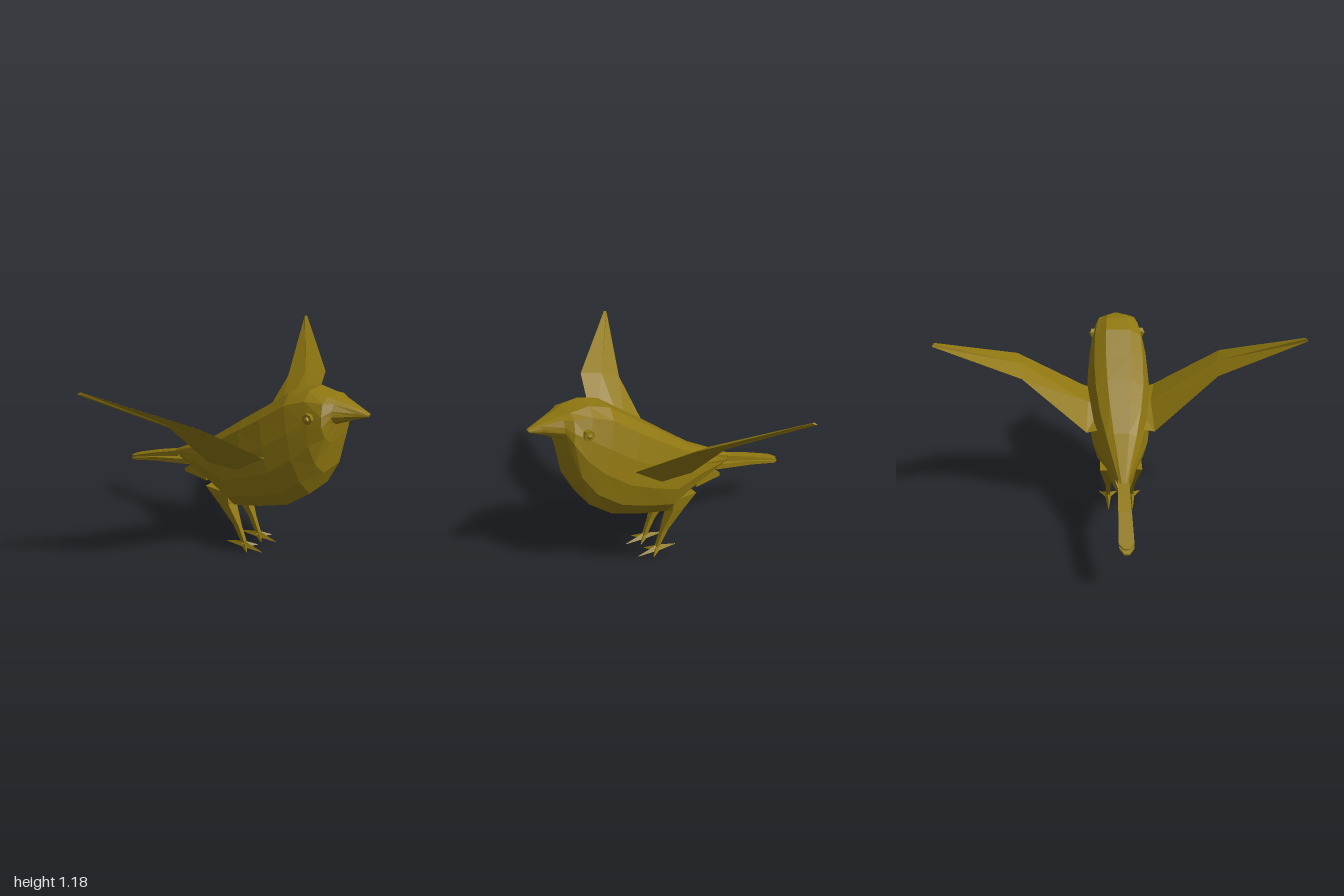
import * as THREE from 'three';

const material = new THREE.MeshStandardMaterial({ color: 0x8f7710, flatShading: true });

// Skin a closed solid over rings of equal point count; winding is fixed by signed volume
function loft(rings) {
  const n = rings[0].length, tris = [];
  for (let r = 0; r + 1 < rings.length; r++) {
    for (let i = 0; i < n; i++) {
      const j = (i + 1) % n;
      const a = rings[r][i], b = rings[r][j], c = rings[r + 1][j], d = rings[r + 1][i];
      tris.push([a, b, c], [a, c, d]);
    }
  }
  const first = rings[0], last = rings[rings.length - 1];
  for (let i = 1; i + 1 < n; i++) {
    tris.push([first[0], first[i + 1], first[i]], [last[0], last[i], last[i + 1]]);
  }
  const vec = (p) => new THREE.Vector3(...p);
  let volume = 0;
  for (const [a, b, c] of tris) volume += vec(a).dot(vec(b).cross(vec(c)));
  if (volume < 0) tris.forEach((t) => t.reverse());
  const g = new THREE.BufferGeometry();
  g.setAttribute('position', new THREE.Float32BufferAttribute(tris.flat(2), 3));
  g.computeVertexNormals();
  return g;
}

const mirrored = (rings, s) => rings.map((ring) => ring.map(([x, y, z]) => [x * s, y, z]));

// Rectangular ring across the body: half width, top and bottom height, z
const slab = (w, top, bottom, z, zBottom = z) =>
  [[w, top, z], [-w, top, z], [-w, bottom, zBottom], [w, bottom, zBottom]];

export function createModel() {
  const bird = new THREE.Group();
  bird.name = 'bird';
  const add = (name, geometry, parent = bird) => {
    const mesh = new THREE.Mesh(geometry, material);
    mesh.name = name;
    parent.add(mesh);
    return mesh;
  };

  // Body, head and beak: slanted rings [top z, top y, bottom z, bottom y, half width]
  const stations = [
    [0.85, 1.0, 0.845, 0.985, 0.015],
    [0.79, 1.02, 0.78, 0.96, 0.04],
    [0.68, 1.048, 0.69, 0.925, 0.1],
    [0.635, 1.06, 0.68, 0.83, 0.15],
    [0.53, 1.075, 0.65, 0.65, 0.172],
    [0.41, 1.04, 0.58, 0.51, 0.19],
    [0.26, 0.93, 0.44, 0.4, 0.2],
    [0.12, 0.83, 0.25, 0.33, 0.19],
    [0.0, 0.74, 0.06, 0.272, 0.165],
    [-0.16, 0.625, -0.16, 0.37, 0.115],
    [-0.45, 0.475, -0.37, 0.42, 0.03],
  ];
  // Half outline of one ring: [fraction from top to bottom, fraction of half width]
  const half = [[0, 0.38], [0.09, 0.74], [0.35, 0.93], [0.6, 1], [0.84, 0.84], [1, 0.5]];
  const outline = [...half, ...half.map(([t, w]) => [t, -w]).reverse()];
  add('body', loft(stations.map(([zt, yt, zb, yb, w]) =>
    outline.map(([t, k]) => [k * w, yt + (yb - yt) * t, zt + (zb - zt) * t]))));

  // Tail feathers and the wedge beneath them
  const tail = new THREE.Group();
  tail.name = 'tail';
  bird.add(tail);
  add('upperTailFeather', loft([
    slab(0.03, 0.478, 0.44, -0.42),
    slab(0.036, 0.41, 0.385, -0.63),
    slab(0.04, 0.344, 0.332, -0.81),
    slab(0.015, 0.334, 0.326, -0.84),
  ]), tail);
  add('lowerTailFeather', loft([
    slab(0.03, 0.44, 0.405, -0.34),
    slab(0.034, 0.38, 0.355, -0.62),
    slab(0.04, 0.326, 0.312, -0.81),
    slab(0.015, 0.311, 0.302, -0.85),
  ]), tail);
  add('tailCovert', loft([
    slab(0.085, 0.44, 0.37, -0.15),
    slab(0.05, 0.43, 0.36, -0.29),
    slab(0.025, 0.37, 0.347, -0.37),
  ]), tail);

  for (const [side, s] of [['left', 1], ['right', -1]]) {
    // Wing sections: leading edge, upper face, trailing edge, lower face
    add(side + 'Wing', loft(mirrored([
      [[0.13, 0.68, 0.33], [0.1, 0.65, 0.17], [0.13, 0.58, -0.03], [0.14, 0.57, 0.17]],
      [[0.22, 0.7, 0.355], [0.19, 0.67, 0.17], [0.2, 0.565, -0.03], [0.225, 0.59, 0.19]],
      [[0.6, 0.963, 0.245], [0.57, 0.948, 0.12], [0.56, 0.9, 0.002], [0.59, 0.92, 0.12]],
      [[0.992, 1.18, -0.14], [0.99, 1.18, -0.155], [1.0, 1.168, -0.165], [1.0, 1.172, -0.15]],
    ], s)));

    // Eye: faceted rim with a small bead in it
    const eye = new THREE.Group();
    eye.name = side + 'Eye';
    eye.position.set(s * 0.15, 0.958, 0.582);
    bird.add(eye);
    add('eyeRim', new THREE.CylinderGeometry(0.03, 0.03, 0.03, 7), eye).rotation.z = Math.PI / 2;
    add('eyeBead', new THREE.IcosahedronGeometry(0.02, 0), eye).position.x = s * 0.008;

    // Leg: flat taper from thigh to ankle
    const legRing = (x0, x1, y, zFront, zBack) =>
      [[x0, y, zFront], [x1, y, zFront], [x1, y, zBack], [x0, y, zBack]];
    add(side + 'Leg', loft(mirrored([
      legRing(0.035, 0.125, 0.36, 0.04, -0.12),
      legRing(0.04, 0.115, 0.275, 0.045, -0.04),
      legRing(0.06, 0.09, 0.14, 0.1, 0.06),
      legRing(0.062, 0.086, 0.035, 0.142, 0.118),
    ], s)));

    // Foot: three forward toes and one back toe, each tapering to a point
    const foot = new THREE.Group();
    foot.name = side + 'Foot';
    bird.add(foot);
    for (const [x, y, z] of [[0.018, 0.013, 0.19], [0.075, 0.012, 0.262], [0.132, 0.013, 0.19], [0.075, 0.002, 0]]) {
      const dir = new THREE.Vector2(x - 0.075, z - 0.13).normalize().multiplyScalar(0.02);
      const ring = (cx, cz, k, top, bottom) => [
        [cx, top, cz],
        [cx + dir.y * k, bottom, cz - dir.x * k],
        [cx - dir.y * k, bottom, cz + dir.x * k],
      ];
      add('toe', loft(mirrored([
        ring(0.075 - dir.x * 0.5, 0.13 - dir.y * 0.5, 1, 0.05, 0.015),
        ring(x, z, 0.1, y + 0.003, y),
      ], s)), foot);
    }
  }
  return bird;
}
